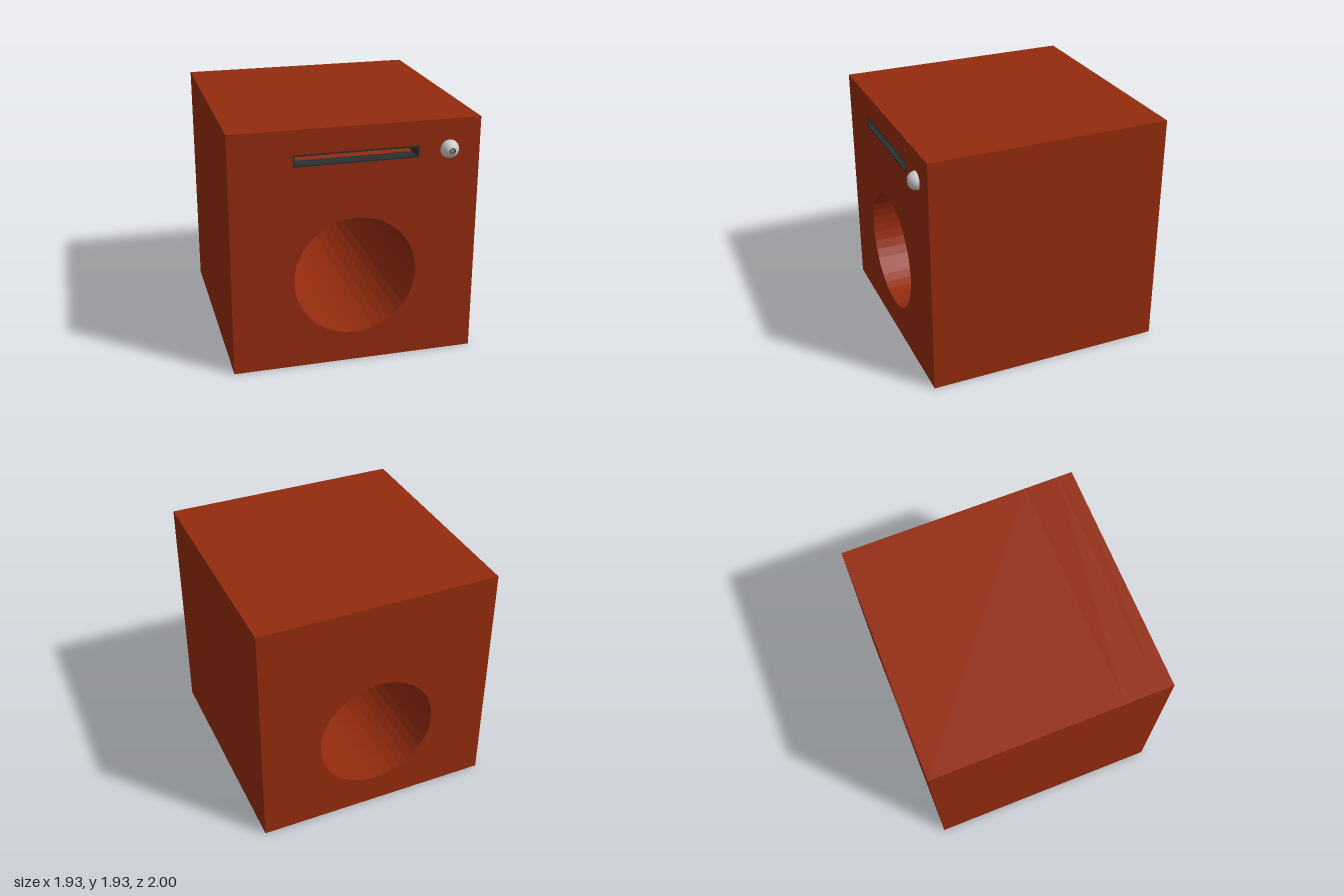
import * as THREE from 'three';

const mat = (color, side = THREE.FrontSide, flatShading = false) =>
  new THREE.MeshStandardMaterial({ color, side, flatShading });

// Rectangle outline centred on (0, cy)
function rect(PathType, halfW, halfH, cy) {
  return new PathType([
    [-halfW, -halfH], [halfW, -halfH], [halfW, halfH], [-halfW, halfH],
  ].map(([x, y]) => new THREE.Vector2(x, cy + y)));
}

// Circular outline with straight segments
function circle(radius, cy, sides) {
  return new THREE.Path(Array.from({ length: sides }, (_, i) => {
    const a = (i / sides) * Math.PI * 2;
    return new THREE.Vector2(radius * Math.cos(a), cy + radius * Math.sin(a));
  }));
}

// Extruded plate or block between two depths, with optional holes
function slab(shape, holes, back, front) {
  shape.holes.push(...holes);
  const geo = new THREE.ExtrudeGeometry(shape, { depth: front - back, bevelEnabled: false });
  return geo.translate(0, 0, back);
}

export function createModel() {
  const group = new THREE.Group();
  const add = (name, geometry, material) => {
    const mesh = new THREE.Mesh(geometry, material);
    mesh.name = name;
    group.add(mesh);
    return mesh;
  };

  const H = 0.965, FRONT = 0.93, BACK = -1;
  const SLOT_Y = 1.692, SLOT_BACK = 0.53;
  const red = mat(0x932b0e, THREE.FrontSide, true);
  const dark = mat(0x2b2f30);

  // Cube body: bored through, with a slot cut into the front section
  const bore = () => circle(0.483, 0.725, 40);
  add('bodyRear', slab(rect(THREE.Shape, H, H, H), [bore()], BACK, SLOT_BACK), red);
  add('bodyFront', slab(rect(THREE.Shape, H, H, H),
    [bore(), rect(THREE.Path, 0.468, 0.034, SLOT_Y)], SLOT_BACK, FRONT - 0.12), red);
  add('bodyFace', slab(rect(THREE.Shape, H, H, H),
    [bore(), rect(THREE.Path, 0.483, 0.047, SLOT_Y)], FRONT - 0.12, FRONT), red);

  // Dark lining around the mouth of the slot
  add('slotFrame', slab(rect(THREE.Shape, 0.483, 0.047, SLOT_Y),
    [rect(THREE.Path, 0.468, 0.034, SLOT_Y)], FRONT - 0.12, FRONT - 0.001), dark);

  // Green bar deep inside the slot
  const bar = add('slotBar', new THREE.BoxGeometry(0.915, 0.045, 0.04), mat(0x1fae10));
  bar.position.set(0, SLOT_Y + 0.003, SLOT_BACK + 0.02);

  // Round knob with a small socket in its tip
  const R = 0.072, SOCKET = 0.025;
  const start = Math.asin(SOCKET / R);
  const profile = [];
  for (let i = 0; i <= 16; i++) {
    const a = Math.PI - (Math.PI - start) * (i / 16);
    profile.push(new THREE.Vector2(R * Math.sin(a), R * Math.cos(a)));
  }
  const knob = new THREE.Group();
  knob.name = 'knob';
  knob.position.set(0.722, 1.695, FRONT);
  knob.rotation.x = Math.PI / 2;
  const addKnob = (name, geo, material, y = 0) => {
    const mesh = new THREE.Mesh(geo, material);
    mesh.name = name;
    mesh.position.y = y;
    knob.add(mesh);
  };
  const grey = mat(0xcccccc, THREE.DoubleSide);
  const tip = R * Math.cos(start);
  addKnob('knobBall', new THREE.LatheGeometry(profile, 32), grey);
  addKnob('knobSocket', new THREE.CylinderGeometry(SOCKET, SOCKET, 0.03, 24, 1, true), mat(0x555555, THREE.DoubleSide), tip - 0.015);
  addKnob('knobSocketFloor', new THREE.CylinderGeometry(SOCKET, SOCKET, 0.004, 24), mat(0x555555), tip - 0.03);
  addKnob('knobPin', new THREE.CylinderGeometry(0.013, 0.013, 0.03, 16), mat(0xa08070), tip - 0.013);
  group.add(knob);

  return group;
}
